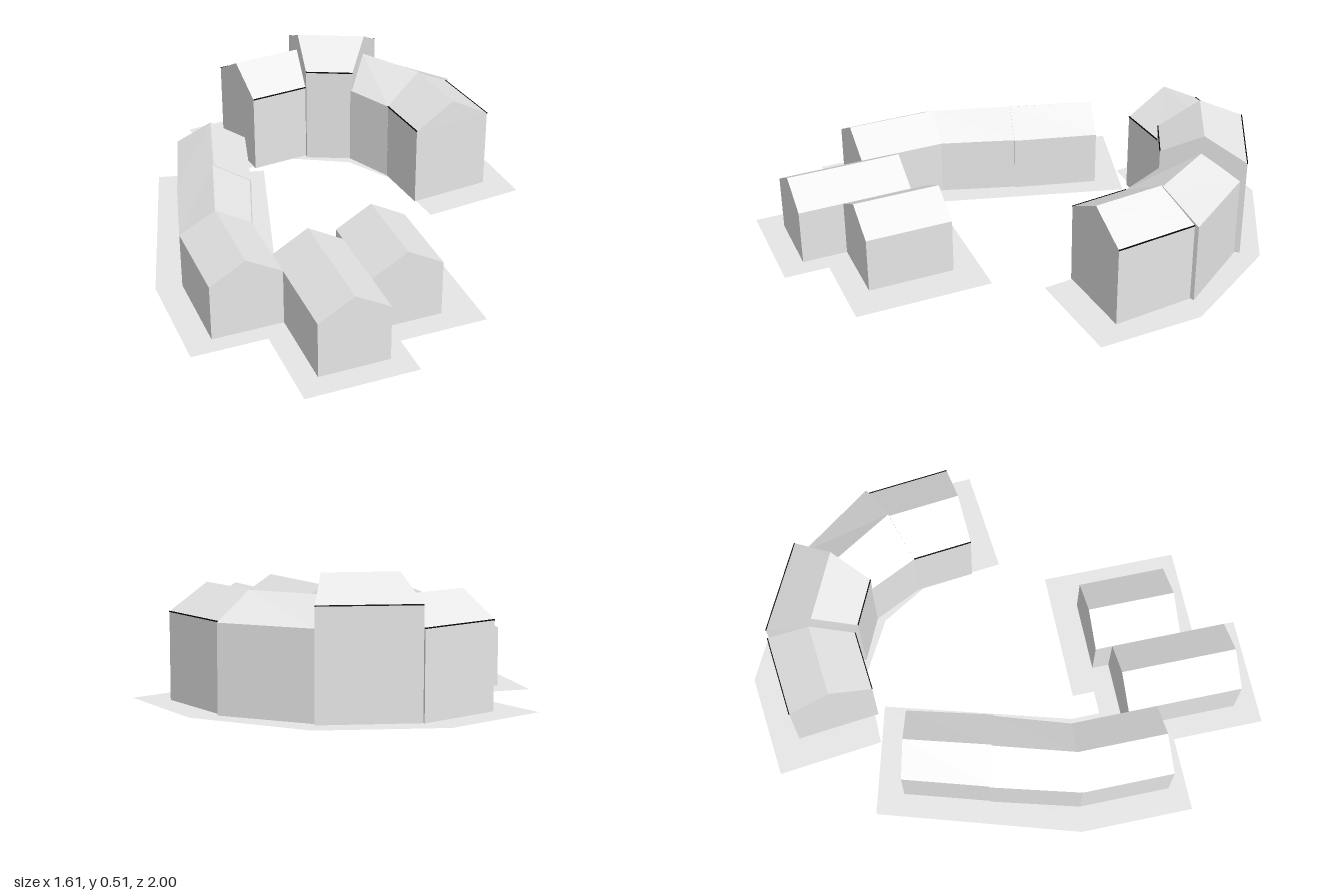
import * as THREE from 'three';

const stone = new THREE.MeshStandardMaterial({ color: 0xe6e6e6, side: THREE.DoubleSide });
stone.name = 'pale grey';
const dark = new THREE.MeshStandardMaterial({ color: 0x050505 });
dark.name = 'black';

// Flat paving plate on the ground from an outline of [x, z] corners
function plate(name, outline) {
  const shape = new THREE.Shape(outline.map(([x, z]) => new THREE.Vector2(x, -z)));
  const geo = new THREE.ShapeGeometry(shape).rotateX(-Math.PI / 2);
  const mesh = new THREE.Mesh(geo, stone);
  mesh.name = name;
  return mesh;
}

// Gabled house lofted between two ends; each end is [left, ridge, right] as [x, z],
// left and right as seen walking from the start to the end
function house(name, start, end, eave, ridge) {
  const section = ([a, r, b]) => [
    [a[0], 0, a[1]], [a[0], eave, a[1]], [r[0], ridge, r[1]], [b[0], eave, b[1]], [b[0], 0, b[1]],
  ];
  const s = section(start), e = section(end), pos = [];
  const tri = (...pts) => pts.forEach((p) => pos.push(...p));
  // Walls and roof slopes
  for (let i = 0; i < 4; i++) {
    tri(s[i], s[i + 1], e[i + 1]);
    tri(s[i], e[i + 1], e[i]);
  }
  // Gable ends
  for (const [i, j, k] of [[0, 4, 3], [0, 3, 1], [1, 3, 2]]) {
    tri(s[i], s[j], s[k]);
    tri(e[i], e[k], e[j]);
  }
  const geo = new THREE.BufferGeometry();
  geo.setAttribute('position', new THREE.Float32BufferAttribute(pos, 3));
  geo.computeVertexNormals();
  const mesh = new THREE.Mesh(geo, stone);
  mesh.name = name;
  return mesh;
}

// House with a hairline dark trim along both eaves
function trimmedHouse(name, start, end, eave, ridge) {
  const group = new THREE.Group();
  group.name = name;
  group.add(house('walls', start, end, eave, ridge));
  for (const side of [0, 2]) {
    const [x0, z0] = start[side], [x1, z1] = end[side];
    const trim = new THREE.Mesh(
      new THREE.BoxGeometry(0.004, 0.004, Math.hypot(x1 - x0, z1 - z0)), dark);
    trim.name = 'eaveTrim';
    trim.position.set((x0 + x1) / 2, eave, (z0 + z1) / 2);
    trim.rotation.y = Math.atan2(x1 - x0, z1 - z0);
    group.add(trim);
  }
  return group;
}

// House end that runs straight across, ridge in the middle
const across = (x0, x1, z) => [[x0, z], [(x0 + x1) / 2, z], [x1, z]];

export function createModel() {
  const model = new THREE.Group();
  model.name = 'houseCluster';

  // Paving under the two rows
  model.add(
    plate('curvedPaving', [
      [-0.325, -0.957], [0.092, -1], [0.525, -0.781], [0.787, -0.374], [0.806, 0.052],
      [0.388, 0.094], [0.357, -0.223], [0.237, -0.423], [0.022, -0.542], [-0.278, -0.538],
    ]),
    plate('steppedPaving', [
      [-0.567, -0.61], [-0.132, -0.494], [-0.342, 0.243], [-0.342, 0.359], [-0.247, 0.359],
      [-0.247, 0.27], [0.28, 0.27], [0.28, 0.821], [-0.07, 0.821], [-0.07, 1],
      [-0.512, 1], [-0.512, 0.631], [-0.808, 0.631], [-0.808, 0.178],
    ]),
  );

  // Low houses
  const low = new THREE.Group();
  low.name = 'lowHouses';
  const bend = [[-0.706, 0.194], [-0.565, 0.203], [-0.425, 0.211]];
  low.add(
    house('rowFrontHouse', across(-0.706, -0.425, 0.559), bend, 0.23, 0.312),
    house('rowMiddleHouse', bend, [[-0.611, -0.155], [-0.471, -0.118], [-0.331, -0.082]], 0.23, 0.312),
    house('rowBackHouse', [[-0.608, -0.154], [-0.467, -0.117], [-0.326, -0.08]],
      [[-0.509, -0.485], [-0.374, -0.449], [-0.238, -0.414]], 0.23, 0.312),
    house('longHouse', across(-0.425, -0.145, 0.905), across(-0.425, -0.145, 0.444), 0.23, 0.312),
    house('shortHouse', across(-0.145, 0.139, 0.724), across(-0.145, 0.139, 0.376), 0.23, 0.312),
  );

  // Tall houses along the curve
  const tall = new THREE.Group();
  tall.name = 'tallHouses';
  tall.add(
    trimmedHouse('curveFrontHouse', [[0.37, -0.026], [0.537, -0.043], [0.703, -0.059]],
      [[0.345, -0.264], [0.507, -0.329], [0.668, -0.389]], 0.335, 0.433),
    house('curveSecondHouse', [[0.345, -0.262], [0.515, -0.33], [0.684, -0.397]],
      [[0.25, -0.459], [0.36, -0.579], [0.465, -0.697]], 0.335, 0.433),
    trimmedHouse('curveHighHouse', [[0.26, -0.45], [0.367, -0.582], [0.476, -0.717]],
      [[0.082, -0.532], [0.109, -0.702], [0.135, -0.886]], 0.417, 0.512),
    trimmedHouse('curveEndHouse', [[0.087, -0.55], [0.11, -0.72], [0.134, -0.892]],
      [[-0.158, -0.526], [-0.176, -0.693], [-0.194, -0.859]], 0.335, 0.433),
  );

  model.add(low, tall);
  return model;
}
